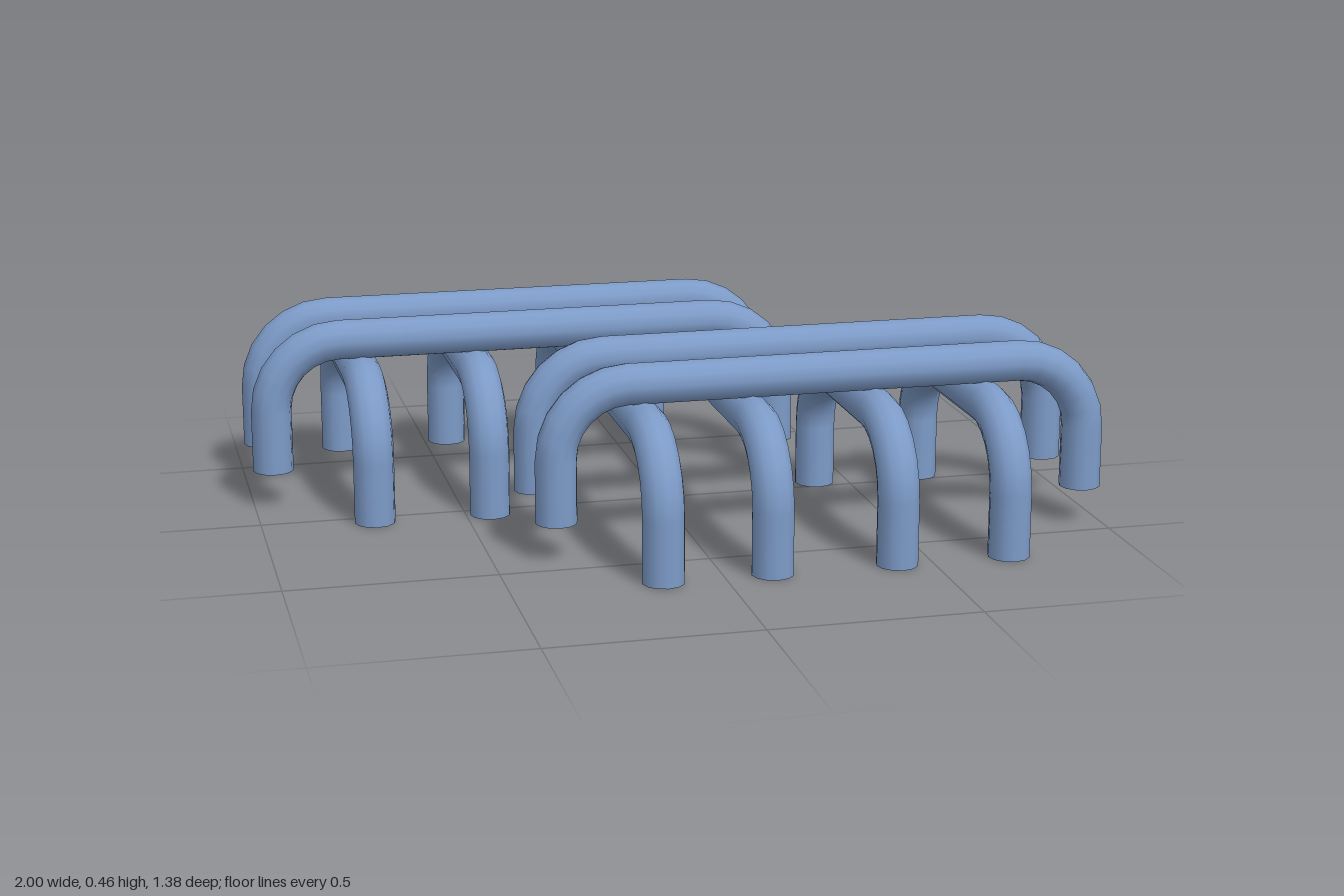
import * as THREE from 'three';
import { mergeGeometries } from 'three/addons/utils/BufferGeometryUtils.js';

const RADIUS = 0.05, BEND = 0.17, SIDES = 12, BEND_STEPS = 6;

// Centre line of a bar: leg, bend, straight run, bend, leg, sampled only where it turns
class BarPath extends THREE.Curve {
  constructor(span, height) {
    super();
    const h = span / 2 - RADIUS, top = height - RADIUS;
    this.stations = [];
    const add = (x, y, tx, ty) => this.stations.push({
      point: new THREE.Vector3(x, y, 0), tangent: new THREE.Vector3(tx, ty, 0) });
    add(-h, 0, 0, 1);
    for (const side of [-1, 1]) {
      for (let i = 0; i <= BEND_STEPS; i++) {
        const a = (side < 0 ? Math.PI : Math.PI / 2) - (i / BEND_STEPS) * Math.PI / 2;
        add(side * (h - BEND) + BEND * Math.cos(a), top - BEND + BEND * Math.sin(a), Math.sin(a), -Math.cos(a));
      }
    }
    add(h, 0, 0, -1);
  }
  station(t) { return this.stations[Math.round(t * (this.stations.length - 1))]; }
  getPoint(t, target = new THREE.Vector3()) { return target.copy(this.station(t).point); }
  getPointAt(t, target) { return this.getPoint(t, target); }
  getTangent(t, target = new THREE.Vector3()) { return target.copy(this.station(t).tangent); }
  getTangentAt(t, target) { return this.getTangent(t, target); }
}

// Bent tube with closed feet, standing on y = 0 and running along x
function barGeometry(span, height) {
  const path = new BarPath(span, height);
  const parts = [new THREE.TubeGeometry(path, path.stations.length - 1, RADIUS, SIDES, false)];
  for (const side of [-1, 1]) {
    parts.push(new THREE.CircleGeometry(RADIUS, SIDES).rotateX(Math.PI / 2)
      .translate(side * (span / 2 - RADIUS), 0, 0));
  }
  return mergeGeometries(parts);
}

export function createModel() {
  const group = new THREE.Group();
  const blue = new THREE.MeshStandardMaterial({ color: 0x7d9bc8 });
  blue.name = 'steel blue';

  // Upper bars run along x: [z, x start, x end]
  const upper = [[-0.41, -1, 0.385], [-0.16, -1, 0.385], [0.152, -0.4, 1], [0.422, -0.4, 1]];
  upper.forEach(([z, a, b], i) => {
    const bar = new THREE.Mesh(barGeometry(b - a, 0.373), blue);
    bar.name = `upperBar${i + 1}`;
    bar.position.set((a + b) / 2, 0.091, z);
    group.add(bar);
  });

  // Lower bars run along z: [x, z start, z end]
  const lower = [[-0.725, -0.692, 0.086], [-0.44, -0.692, 0.086], [-0.145, -0.692, 0.69],
    [0.114, -0.692, 0.69], [0.415, -0.09, 0.69], [0.69, -0.09, 0.69]];
  lower.forEach(([x, a, b], i) => {
    const bar = new THREE.Mesh(barGeometry(b - a, 0.375), blue);
    bar.name = `lowerBar${i + 1}`;
    bar.rotation.y = Math.PI / 2;
    bar.position.set(x, 0, (a + b) / 2);
    group.add(bar);
  });

  return group;
}
